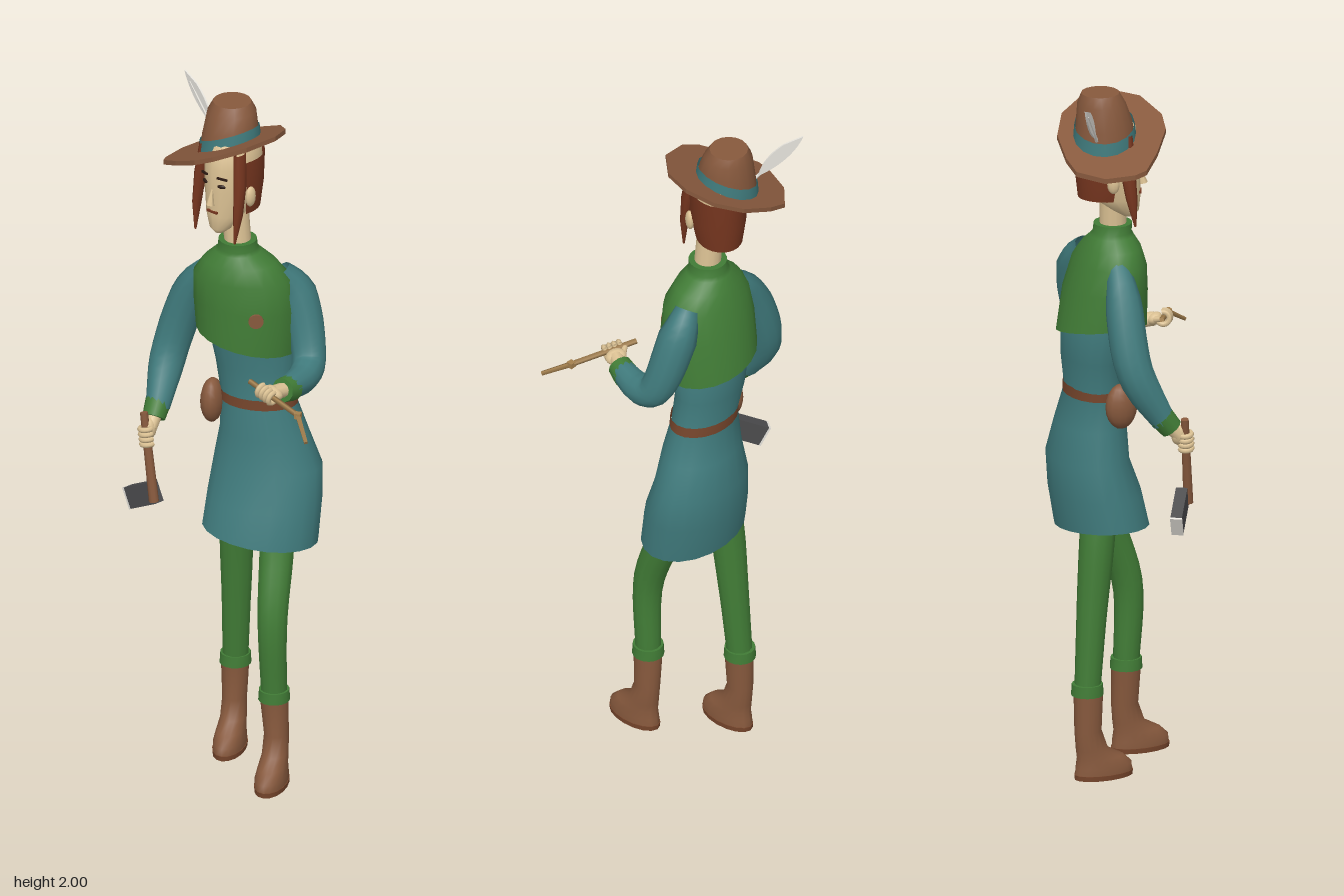
import * as THREE from 'three';

const mat = (name, color) => new THREE.MeshStandardMaterial({ name, color, side: THREE.DoubleSide });
const V = (x, y, z) => new THREE.Vector3(x, y, z);

// Lofts elliptical rings, bottom to top: [y, cx, cz, rx, rz, slopeX, slopeZ]; angle 0 faces +z
function loft(rings, { sides = 16, start = 0, sweep = Math.PI * 2, capTop = false, capBottom = false } = {}) {
  const closed = sweep > 6.28, cols = closed ? sides : sides + 1;
  const pos = [], idx = [];
  for (const [y, cx, cz, rx, rz, sx = 0, sz = 0] of rings) {
    for (let i = 0; i < cols; i++) {
      const t = start + sweep * i / sides, dx = rx * Math.sin(t), dz = rz * Math.cos(t);
      pos.push(cx + dx, y + sx * dx + sz * dz, cz + dz);
    }
  }
  for (let j = 0; j < rings.length - 1; j++) {
    for (let i = 0; i < sides; i++) {
      const k = (i + 1) % cols, a = j * cols + i, b = j * cols + k;
      idx.push(a, b, b + cols, a, b + cols, a + cols);
    }
  }
  const cap = (j, up) => {
    const base = pos.length / 3;
    pos.push(rings[j][1], rings[j][0], rings[j][2]);
    for (let i = 0; i < cols; i++) pos.push(...pos.slice((j * cols + i) * 3, (j * cols + i) * 3 + 3));
    for (let i = 0; i < sides; i++) {
      const a = base + 1 + i, b = base + 1 + (i + 1) % cols;
      idx.push(base, up ? a : b, up ? b : a);
    }
  };
  if (capTop) cap(rings.length - 1, true);
  if (capBottom) cap(0, false);
  const g = new THREE.BufferGeometry();
  g.setAttribute('position', new THREE.Float32BufferAttribute(pos, 3));
  g.setIndex(idx);
  g.computeVertexNormals();
  return g;
}

// Tube along a curve whose radius follows a list of values
function limb(points, radii, sides = 12, seg = 14) {
  const curve = new THREE.CatmullRomCurve3(points, false, 'centripetal');
  const g = new THREE.TubeGeometry(curve, seg, 1, sides, false), p = g.attributes.position, v = V(0, 0, 0);
  for (let i = 0; i < p.count; i++) {
    const u = Math.floor(i / (sides + 1)) / seg, f = u * (radii.length - 1), k = Math.min(Math.floor(f), radii.length - 2);
    const c = curve.getPointAt(u), r = THREE.MathUtils.lerp(radii[k], radii[k + 1], f - k);
    v.fromBufferAttribute(p, i).sub(c).multiplyScalar(r).add(c);
    p.setXYZ(i, v.x, v.y, v.z);
  }
  return g;
}

// Straight rod between two points
function rod(a, b, r0, r1 = r0, sides = 10) {
  const d = b.clone().sub(a), g = new THREE.CylinderGeometry(r1, r0, d.length(), sides);
  g.applyQuaternion(new THREE.Quaternion().setFromUnitVectors(V(0, 1, 0), d.normalize()));
  const m = a.clone().add(b).multiplyScalar(0.5);
  return g.translate(m.x, m.y, m.z);
}

// Matrix with local x along dir and local y as upright as possible
function upright(dir, origin) {
  const x = dir.clone().normalize(), z = x.clone().cross(V(0, 1, 0)).normalize(), y = z.clone().cross(x);
  return new THREE.Matrix4().makeBasis(x, y, z).setPosition(origin);
}

export function createModel() {
  const brown = mat('brown leather', 0x87593d), teal = mat('teal cloth', 0x407b7d), green = mat('green cloth', 0x417c36);
  const skin = mat('skin', 0xdcc294), hair = mat('auburn hair', 0x77361f), metal = mat('dark metal', 0x4c4c4e);
  const white = mat('feather white', 0xe6e3dc), wood = mat('pale wood', 0xa5814f), dark = mat('dark features', 0x2c1a13);
  const belt = mat('belt leather', 0x77462c);
  const model = new THREE.Group();
  const add = (name, geo, material, parent = model) => {
    const m = new THREE.Mesh(geo, material);
    m.name = name;
    parent.add(m);
    return m;
  };

  // Tunic, belt and pouch
  add('tunic', loft([
    [0.70, 0.063, -0.097, 0.163, 0.124, -0.1], [0.80, 0.07, -0.115, 0.162, 0.122], [0.90, 0.074, -0.135, 0.153, 0.106],
    [1.00, 0.065, -0.13, 0.125, 0.094], [1.10, 0.05, -0.127, 0.105, 0.076], [1.20, 0.038, -0.138, 0.112, 0.08],
    [1.30, 0.03, -0.13, 0.122, 0.09], [1.45, 0.02, -0.11, 0.11, 0.08]], { sides: 20 }), teal);
  add('belt', loft([[1.088, 0.052, -0.127, 0.109, 0.079], [1.118, 0.05, -0.127, 0.108, 0.079]], { sides: 20 }), belt);
  add('pouch', new THREE.SphereGeometry(1, 14, 10).scale(0.032, 0.065, 0.046).translate(-0.075, 1.08, -0.1), brown);

  // Shoulder cape with collar and badge
  add('cape', loft([
    [1.285, 0.02, -0.117, 0.142, 0.122, -0.19], [1.40, 0.018, -0.107, 0.146, 0.111, -0.08], [1.48, 0.012, -0.097, 0.138, 0.094],
    [1.525, 0.005, -0.095, 0.102, 0.078], [1.555, 0, -0.095, 0.064, 0.06], [1.565, 0, -0.094, 0.055, 0.054],
    [1.59, 0, -0.092, 0.053, 0.053]], { sides: 20, capTop: true }), green);
  const badge = add('capeBadge', new THREE.CylinderGeometry(0.021, 0.021, 0.008, 14).rotateX(Math.PI / 2), brown);
  badge.position.set(0.077, 1.385, -0.004);
  badge.rotation.y = 0.35;

  // Legs, trouser cuffs and boots
  const legs = [
    { side: 'left', path: [V(0.11, 0.82, -0.1), V(0.122, 0.68, -0.055), V(0.128, 0.49, 0.01), V(0.132, 0.25, 0.008)], x: 0.138, z: 0.006 },
    { side: 'right', path: [V(0.0, 0.82, -0.13), V(-0.017, 0.68, -0.147), V(-0.024, 0.49, -0.165), V(-0.032, 0.25, -0.183)], x: -0.034, z: -0.182 }];
  for (const { side, path, x, z } of legs) {
    const top = path[3];
    add(side + 'Leg', limb(path, [0.052, 0.048, 0.041, 0.036]), green);
    add(side + 'TrouserCuff', loft([[0.243, top.x, top.z, 0.044, 0.045], [0.275, top.x, top.z, 0.042, 0.043]], { capTop: true, capBottom: true }), green);
    const boot = new THREE.Group();
    boot.name = side + 'Boot';
    boot.position.set(x, 0, z);
    model.add(boot);
    add('bootUpper', loft([
      [0.012, 0, 0.047, 0.043, 0.085], [0.035, 0, 0.047, 0.043, 0.083], [0.06, 0, 0.036, 0.039, 0.068], [0.085, 0, 0.012, 0.036, 0.046],
      [0.14, 0, 0, 0.034, 0.038], [0.25, top.x - x, 0.002, 0.039, 0.041]]), brown, boot);
    add('bootSole', loft([[0, 0, 0.047, 0.044, 0.086], [0.014, 0, 0.047, 0.045, 0.087]], { capBottom: true, capTop: true }), belt, boot);
  }

  // Sleeves and green wrist cuffs
  add('rightSleeve', limb([V(-0.075, 1.49, -0.11), V(-0.125, 1.43, -0.12), V(-0.197, 1.22, -0.115), V(-0.212, 1.07, -0.035)],
    [0.03, 0.052, 0.053, 0.05, 0.034]), teal);
  add('rightCuff', rod(V(-0.212, 1.085, -0.043), V(-0.217, 1.048, -0.014), 0.036, 0.032, 12), green);
  add('leftSleeve', limb([V(0.11, 1.49, -0.12), V(0.155, 1.43, -0.13), V(0.205, 1.245, -0.085), V(0.205, 1.222, -0.03), V(0.184, 1.222, 0.05)],
    [0.035, 0.055, 0.053, 0.048, 0.044, 0.035], 12, 20), teal);
  add('leftCuff', rod(V(0.188, 1.218, 0.035), V(0.175, 1.226, 0.075), 0.038, 0.034, 12), green);

  // Hands: palm, curled fingers round a grip, thumb
  function fist(name, wrist, grip, axis) {
    const hand = new THREE.Group();
    hand.name = name;
    model.add(hand);
    const mid = wrist.clone().lerp(grip, 0.6), a = axis.clone().normalize();
    add('wrist', rod(wrist, mid, 0.021, 0.02), skin, hand);
    const palm = add('palm', new THREE.SphereGeometry(1, 12, 8).scale(0.018, 0.03, 0.024), skin, hand);
    palm.position.copy(mid);
    palm.quaternion.setFromUnitVectors(V(0, 1, 0), a);
    const back = wrist.clone().sub(grip), x = back.addScaledVector(a, -back.dot(a)).normalize();
    const basis = new THREE.Matrix4().makeBasis(x, a.clone().cross(x), a);
    for (let i = 0; i < 4; i++) {
      const f = new THREE.TorusGeometry(0.017, 0.0075, 6, 12, 4.4).rotateZ(0.4).applyMatrix4(basis);
      const c = grip.clone().addScaledVector(a, (i - 1.5) * 0.0145);
      add('finger', f.translate(c.x, c.y, c.z), skin, hand);
    }
    add('thumb', rod(mid.clone().addScaledVector(a, 0.02), grip.clone().addScaledVector(a, 0.036), 0.01, 0.007, 8), skin, hand);
  }
  const handleTop = V(-0.236, 1.075, 0.018), handleEnd = V(-0.2, 0.82, 0.045);
  const stick = [V(0.087, 1.252, 0.095), V(0.25, 1.213, 0.187), V(0.293, 1.168, 0.257)];
  fist('rightHand', V(-0.215, 1.055, -0.018), V(-0.226, 1.008, 0.025), handleTop.clone().sub(handleEnd));
  fist('leftHand', V(0.176, 1.226, 0.072), V(0.146, 1.236, 0.128), stick[0].clone().sub(stick[1]));

  // Hammer in the right hand, jointed stick in the left
  add('hammerHandle', rod(handleTop, handleEnd, 0.011, 0.014, 10), brown);
  add('hammerHead', new THREE.BoxGeometry(0.115, 0.062, 0.032).applyMatrix4(upright(V(-0.08, -0.05, -0.052), V(-0.242, 0.815, 0.0))), metal);
  add('hammerFace', new THREE.BoxGeometry(0.006, 0.063, 0.033).applyMatrix4(upright(V(-0.08, -0.05, -0.052), V(-0.287, 0.787, -0.029))), white);
  add('stickShaft', rod(stick[0], stick[1], 0.008, 0.008, 4), wood);
  add('stickTip', rod(stick[1], stick[2], 0.009, 0.007, 4), wood);
  add('stickJoint', new THREE.BoxGeometry(0.018, 0.016, 0.018).translate(stick[1].x, stick[1].y, stick[1].z), wood);

  // Neck and turned head
  add('neck', rod(V(0.003, 1.54, -0.09), V(-0.008, 1.70, -0.095), 0.038, 0.036, 14), skin);
  const head = new THREE.Group();
  head.name = 'head';
  head.position.set(-0.02, 0, -0.11);
  head.rotation.y = -0.45;
  model.add(head);
  add('face', loft([
    [1.618, 0, 0.052, 0.012, 0.014], [1.635, 0, 0.044, 0.032, 0.036], [1.675, 0, 0.017, 0.055, 0.067], [1.75, 0, 0, 0.068, 0.085],
    [1.82, 0, -0.005, 0.071, 0.09], [1.88, 0, -0.01, 0.063, 0.08], [1.92, 0, -0.01, 0.03, 0.04]], { capBottom: true, capTop: true }), skin, head);
  const nose = add('nose', new THREE.ConeGeometry(0.012, 0.055, 6), skin, head);
  nose.position.set(0, 1.74, 0.087);
  nose.rotation.x = -0.2;
  const mouth = add('mouth', new THREE.BoxGeometry(0.036, 0.006, 0.006), hair, head);
  mouth.position.set(0, 1.69, 0.084);
  for (const s of [-1, 1]) {
    const eye = add('eye', new THREE.SphereGeometry(1, 10, 8).scale(0.012, 0.006, 0.004), dark, head);
    eye.position.set(s * 0.03, 1.773, 0.079);
    eye.rotation.y = s * 0.4;
    const brow = add('eyebrow', new THREE.BoxGeometry(0.03, 0.005, 0.006), dark, head);
    brow.position.set(s * 0.032, 1.797, 0.079);
    brow.rotation.set(0, s * 0.4, -s * 0.12);
    add('ear', new THREE.SphereGeometry(1, 10, 8).scale(0.012, 0.03, 0.018).translate(s * 0.077, 1.735, 0.012), skin, head);
    // Pointed lock hanging before the ear
    add('hairLock', loft([[1.61, s * 0.072, 0.072, 0.003, 0.003], [1.69, s * 0.075, 0.062, 0.011, 0.016],
      [1.78, s * 0.072, 0.05, 0.014, 0.022], [1.87, s * 0.062, 0.04, 0.012, 0.024]], { sides: 8 }), hair, head);
  }
  add('backHair', loft([[1.675, 0, -0.012, 0.063, 0.076], [1.75, 0, -0.005, 0.076, 0.091], [1.84, 0, -0.006, 0.077, 0.095]],
    { start: 1.25, sweep: Math.PI * 2 - 2.5 }), hair, head);

  // Tilted hat brim
  const outline = [[-0.213, -0.12], [-0.19, -0.2], [-0.13, -0.26], [-0.07, -0.264], [0.02, -0.25], [0.09, -0.205], [0.126, -0.13], [0.118, -0.055],
    [0.055, 0.015], [-0.035, 0.04], [-0.09, 0.027], [-0.16, -0.03], [-0.21, -0.085]];
  const brim = new THREE.ExtrudeGeometry(new THREE.Shape(outline.map(([x, z]) => new THREE.Vector2(x, -z))), { depth: 0.014, bevelEnabled: false });
  brim.rotateX(-Math.PI / 2);
  const bp = brim.attributes.position;
  for (let i = 0; i < bp.count; i++) bp.setY(i, bp.getY(i) + 1.847 + 0.38 * (bp.getX(i) + 0.044) + 0.2 * (bp.getZ(i) + 0.11));
  brim.computeVertexNormals();
  add('hatBrim', brim, brown);

  // Crown, band and feather
  add('hatCrown', loft([[1.85, -0.035, -0.132, 0.083, 0.083, 0.38, 0.2], [1.905, -0.034, -0.134, 0.077, 0.077, 0.25, 0.1],
    [1.955, -0.031, -0.14, 0.068, 0.066, 0.05], [1.982, -0.03, -0.143, 0.053, 0.053]], { capTop: true }), brown);
  add('hatBand', loft([[1.852, -0.035, -0.132, 0.087, 0.087, 0.38, 0.2], [1.892, -0.035, -0.133, 0.083, 0.083, 0.36, 0.18]]), teal);
  const base = V(-0.1, 1.875, -0.187), tip = V(-0.2, 1.995, -0.262), length = base.distanceTo(tip);
  const vane = new THREE.Shape();
  vane.moveTo(0, 0);
  vane.quadraticCurveTo(length * 0.3, 0.034, length * 0.7, 0.022);
  vane.lineTo(length, 0);
  vane.quadraticCurveTo(length * 0.55, -0.034, 0, 0);
  add('feather', new THREE.ExtrudeGeometry(vane, { depth: 0.005, bevelEnabled: false }).applyMatrix4(upright(tip.clone().sub(base), base)), white);
  add('featherQuill', rod(V(-0.09, 1.862, -0.18), base.clone().lerp(tip, 0.8), 0.005, 0.002, 6), white);

  return model;
}
